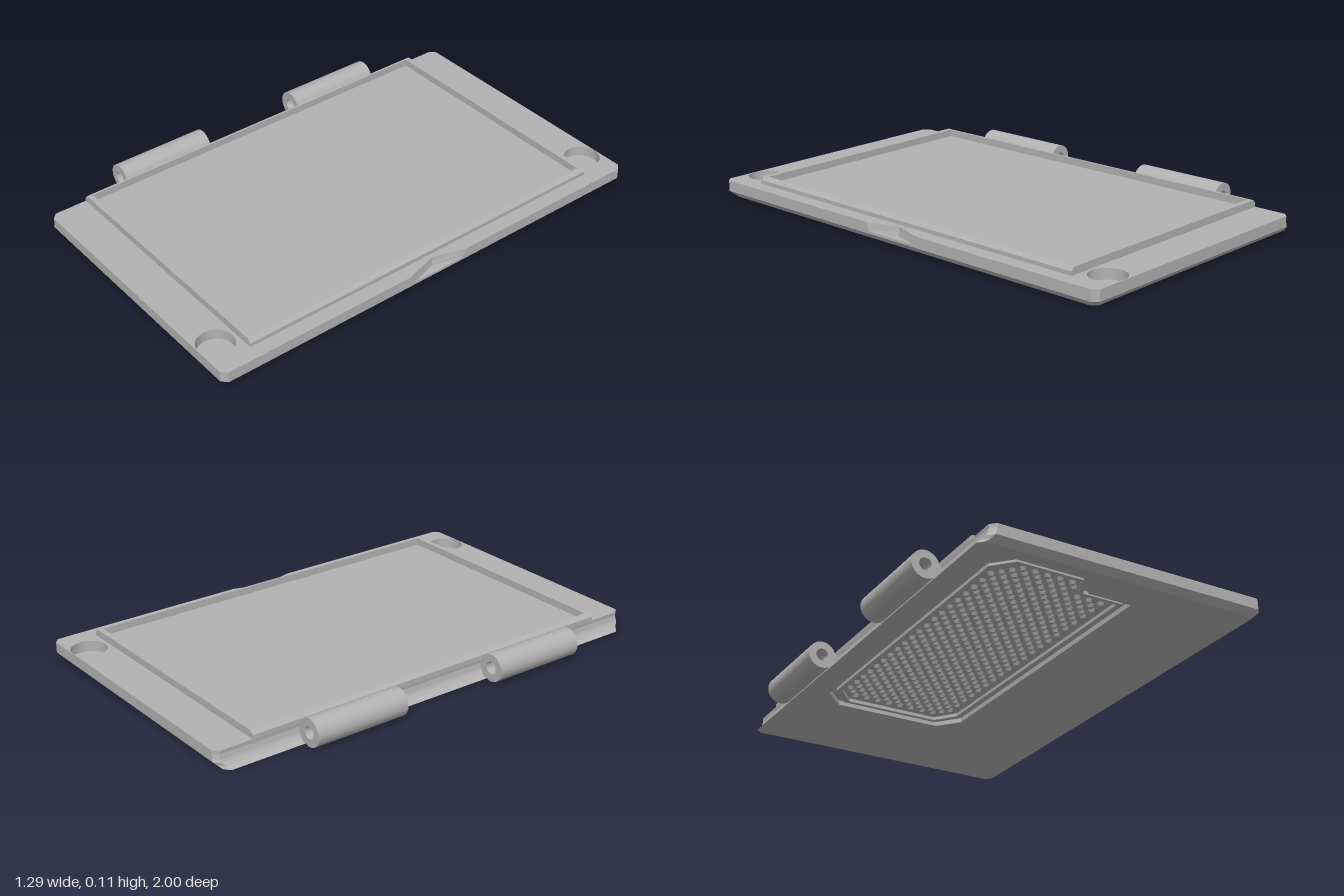
import * as THREE from 'three';
import { mergeGeometries } from 'three/addons/utils/BufferGeometryUtils.js';

const TOP = 0.07;
const HINGE = { x: -0.588, y: 0.057, r: 0.057, hole: 0.026, clear: 0.064 };

// Flat horizontal face from [x, z] points, facing up or down
function cap(points, holes, y, up) {
  const s = up ? -1 : 1;
  const vec = (loop) => loop.map(([x, z]) => new THREE.Vector2(x, s * z));
  const shape = new THREE.Shape(vec(points));
  holes.forEach((h) => shape.holes.push(new THREE.Path(vec(h))));
  const g = new THREE.ShapeGeometry(shape);
  g.rotateX(s * Math.PI / 2);
  g.translate(0, y, 0);
  return g.toNonIndexed();
}

// Walls between stacked loops { y, pts }; loops run anticlockwise seen from above
function loft(levels, inward = false) {
  const pos = [];
  for (let k = 0; k + 1 < levels.length; k++) {
    const a = levels[k], b = levels[k + 1], n = a.pts.length;
    for (let i = 0; i < n; i++) {
      const j = (i + 1) % n;
      const at = (l, m) => [l.pts[m][0], l.y, l.pts[m][1]];
      const A = at(a, i), B = at(a, j), C = at(b, j), D = at(b, i);
      pos.push(...(inward ? [A, C, B, A, D, C] : [A, B, C, A, C, D]).flat());
    }
  }
  const g = new THREE.BufferGeometry();
  g.setAttribute('position', new THREE.Float32BufferAttribute(pos, 3));
  g.setAttribute('uv', new THREE.Float32BufferAttribute(new Float32Array(pos.length / 3 * 2), 2));
  g.computeVertexNormals();
  return g;
}

const circle = (cx, cz, r, n = 40) => Array.from({ length: n }, (_, i) => {
  const a = (i / n) * Math.PI * 2;
  return [cx + r * Math.cos(a), cz - r * Math.sin(a)];
});

const rect = (x0, x1, z) => [[x1, z], [x1, -z], [x0, -z], [x0, z]];

// Plate outline at height y: bevel inset, finger notch depth and half width
function outline(y, inset, depth, half) {
  const r = 0.645 - inset, z = 1 - inset, c = 0.022;
  const l = HINGE.x + Math.sqrt(HINGE.clear ** 2 - (y - HINGE.y) ** 2);
  return [[r - c, z], [r, z - c], [r, half], [r - depth, 0], [r, -half], [r, c - z],
    [r - c, -z], [l + c, -z], [l, c - z], [l, z - c], [l + c, z]];
}

function inside(x, z, loop) {
  let hit = false;
  loop.forEach(([x1, z1], i) => {
    const [x2, z2] = loop[(i + 1) % loop.length];
    if ((z1 > z) !== (z2 > z) && x < x1 + (z - z1) / (z2 - z1) * (x2 - x1)) hit = !hit;
  });
  return hit;
}

export function createModel() {
  const group = new THREE.Group();
  const grey = new THREE.MeshStandardMaterial({ color: 0xb2b2b2 });
  grey.name = 'grey';
  const add = (name, parts) => {
    const mesh = new THREE.Mesh(parts.length > 1 ? mergeGeometries(parts) : parts[0], grey);
    mesh.name = name;
    group.add(mesh);
  };

  // Grip recess outline on the underside
  const grip = [[0.165, 0.83], [0.165, -0.44], [0.09, -0.53], [-0.37, -0.53], [-0.455, -0.44],
    [-0.455, 0.84], [-0.38, 0.92], [-0.08, 0.92], [-0.02, 0.83]];
  const shrink = (kx, kz) => grip.map(([x, z]) => [-0.145 + (x + 0.145) * kx, 0.195 + (z - 0.195) * kz]);

  // Plate: bevelled bottom, hollowed hinge edge, finger notch
  const pockets = [-0.925, 0.925].map((z) => circle(0.49, z, 0.073));
  const levels = [[0, 0.025, 0, 0.123], [0.012, 0.013, 0, 0.123], [0.025, 0, 0, 0.123],
    [0.035, 0, 0, 0.123], [0.035, 0, 0.036, 0.123], [0.055, 0, 0.041, 0.133], [TOP, 0, 0.043, 0.14]]
    .map(([y, inset, d, h]) => ({ y, pts: outline(y, inset, d, h) }));
  add('plate', [
    loft(levels),
    cap(levels[0].pts, [grip], 0, false),
    cap(levels.at(-1).pts, pockets, TOP, true),
  ]);

  // Round magnet pockets
  pockets.forEach((p) => add('magnetPocket', [
    loft([{ y: 0.026, pts: p }, { y: TOP, pts: p }], true),
    cap(p, [], 0.026, true),
  ]));

  // Raised rim around the tray
  const outer = rect(-0.525, 0.585, 0.84), topEdge = rect(-0.512, 0.572, 0.84);
  const inner = rect(-0.503, 0.563, 0.818);
  add('trayRim', [
    loft([{ y: TOP, pts: outer }, { y: 0.086, pts: outer }, { y: 0.1, pts: topEdge }]),
    cap(topEdge, [inner], 0.1, true),
    loft([{ y: TOP, pts: inner }, { y: 0.1, pts: inner }], true),
  ]);

  // Underside recess with a raised border
  const depth = 0.02;
  add('gripRecess', [
    loft([{ y: 0, pts: grip }, { y: depth, pts: grip }], true),
    cap(grip, [], depth, false),
  ]);
  const b0 = shrink(0.93, 0.97), b1 = shrink(0.87, 0.945);
  add('gripBorder', [
    loft([{ y: 0.006, pts: b0 }, { y: depth, pts: b0 }]),
    loft([{ y: 0.006, pts: b1 }, { y: depth, pts: b1 }], true),
    cap(b0, [b1], 0.006, false),
  ]);

  // Staggered grip studs
  const field = shrink(0.8, 0.91), studs = [];
  for (let row = 0; row < 48; row++) {
    for (let col = 0; col < 12; col++) {
      const x = -0.44 + col * 0.052 + (row % 2) * 0.026, z = -0.5 + row * 0.03;
      if (!inside(x, z, field)) continue;
      const stud = new THREE.CylinderGeometry(0.014, 0.009, 0.015, 6).toNonIndexed();
      studs.push(stud.translate(x, depth - 0.0075, z));
    }
  }
  add('gripStuds', studs);

  // Hinge barrels joined to the plate by a web
  const ring = new THREE.Shape().absarc(HINGE.x, HINGE.y, HINGE.r, 0, Math.PI * 2);
  ring.holes.push(new THREE.Path().absarc(HINGE.x, HINGE.y, HINGE.hole, 0, Math.PI * 2, true));
  [-0.64, 0.23].forEach((z) => {
    const barrel = new THREE.ExtrudeGeometry(ring, { depth: 0.41, bevelEnabled: false, curveSegments: 24 });
    add('hingeBarrel', [barrel.translate(0, 0, z)]);
    const web = new THREE.BoxGeometry(0.033, 0.068, 0.408);
    add('hingeWeb', [web.translate(-0.5385, 0.0345, z + 0.205)]);
  });
  return group;
}
